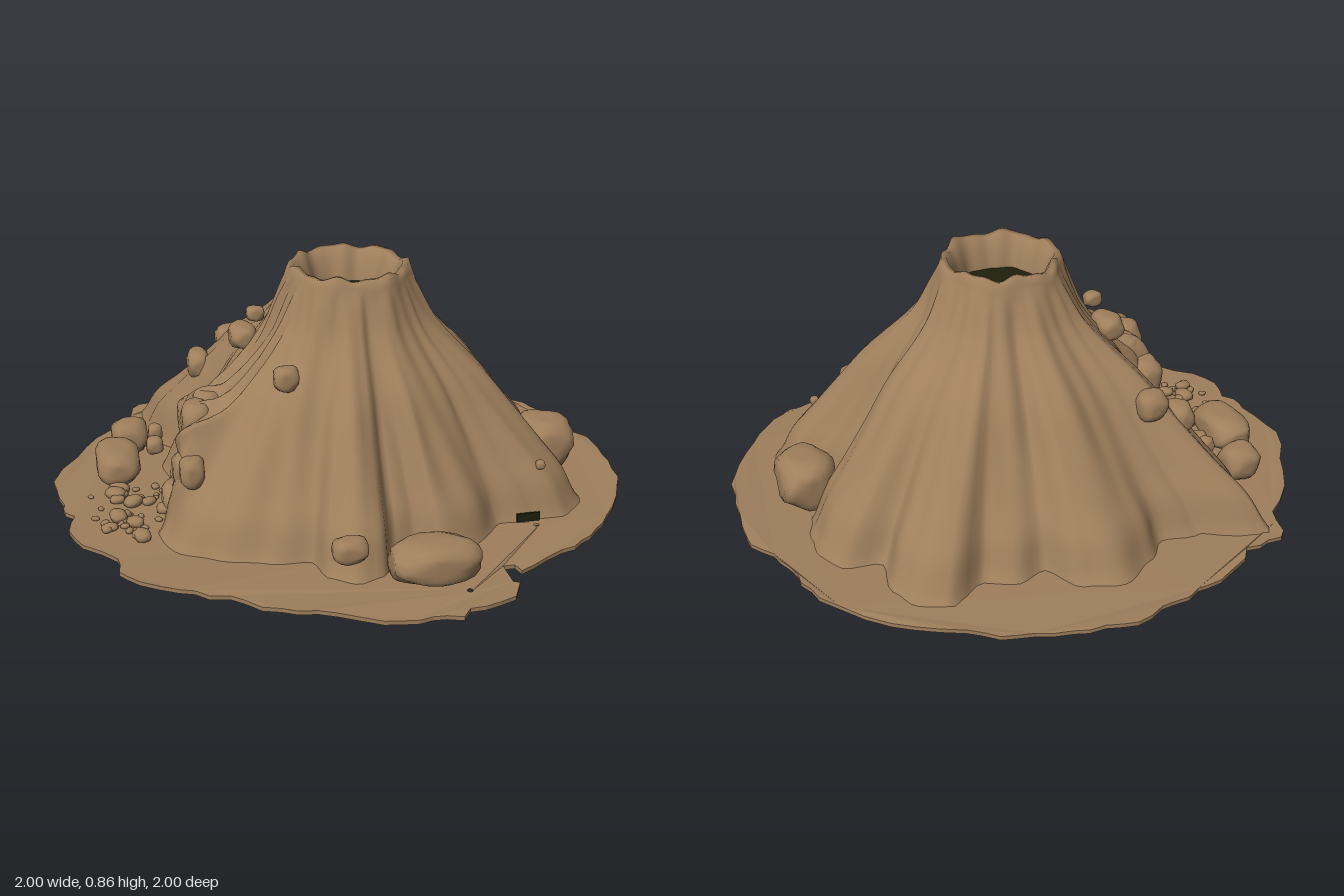
import * as THREE from 'three';
import { mergeVertices } from 'three/addons/utils/BufferGeometryUtils.js';

const CX = 0.03, CZ = 0.02; // axis of the cone

// foot of the cone as x, z pairs: lobes and gullies
const FOOT = [[.8, -.28], [.76, -.37], [.63, -.41], [.64, -.56], [.6, -.65], [.5, -.7], [.37, -.63], [.27, -.68], [.16, -.65],
  [.08, -.78], [-.05, -.82], [-.18, -.74], [-.26, -.66], [-.4, -.67], [-.52, -.73], [-.62, -.76], [-.64, -.6], [-.61, -.46],
  [-.55, -.36], [-.6, -.25], [-.59, -.1], [-.57, .03], [-.6, .12], [-.58, .2], [-.64, .27], [-.63, .42], [-.52, .5],
  [-.36, .57], [-.22, .59], [-.18, .7], [-.1, .75], [-.01, .72], [.05, .59], [.13, .57], [.22, .64], [.31, .6], [.45, .47],
  [.57, .47], [.7, .45], [.78, .36], [.79, .26], [.72, .19], [.64, .1], [.65, .01], [.77, -.08], [.8, -.18]];

// slope sections from foot to rim: [share of foot spread, height]
const SLOPE = [[1.02, .01], [.97, .05], [.89, .14], [.76, .23], [.58, .36], [.42, .48], [.14, .65], [.04, .76], [0, .81]];
const CRAG = [[1.1, .01], [1.02, .07], [.94, .2], [.91, .33], [.8, .4], [.56, .43], [.2, .6], [.04, .76], [0, .81]];
const RIM = [[.2, .838], [.18, .835], [.162, .795], [.145, .75], [.14, .71]]; // crest and inner wall: [radius, height]

// ragged outline of the ground sheet as x, z pairs
const GROUND = [[.05, -1], [.2, -.96], [.36, -.91], [.5, -.83], [.7, -.7], [.87, -.5], [.9, -.36], [.94, -.22], [1, -.1], [.99, .1],
  [.95, .28], [.83, .48], [.72, .61], [.6, .67], [.43, .76], [.42, .72], [.38, .72], [.38, .82], [.4, .83], [.36, .91], [.2, .95], [.17, .99],
  [.12, .97], [0, .97], [-.2, .9], [-.36, .84], [-.5, .73], [-.65, .67], [-.8, .55], [-.82, .42], [-.95, .25], [-.94, .1],
  [-.97, 0], [-1, -.2], [-.87, -.45], [-.7, -.65], [-.64, -.8], [-.5, -.81], [-.38, -.9], [-.25, -.93], [-.1, -.97]];

function seeded(seed) {
  return () => (seed = (seed * 16807) % 2147483647) / 2147483647;
}

const toCurve = (pts) => new THREE.CatmullRomCurve3(pts.map(([f, y]) => new THREE.Vector3(f, y, 0)));

// radius of the foot at an angle, eased between the listed points
const polar = FOOT.map(([x, z]) => ({ a: Math.atan2(z - CZ, x - CX), r: Math.hypot(x - CX, z - CZ) })).sort((p, q) => p.a - q.a);
function footRadius(a) {
  const n = polar.length;
  let k = polar.findIndex((p) => p.a > a);
  if (k < 0) k = 0;
  const p = polar[(k + n - 1) % n], q = polar[k];
  const turn = 2 * Math.PI;
  const t = ((a - p.a + turn) % turn) / ((q.a - p.a + turn) % turn);
  return THREE.MathUtils.lerp(p.r, q.r, t * t * (3 - 2 * t));
}

// how strongly the slope turns into a steep crag at an angle
function cragWeight(a) {
  const deg = ((a * 180) / Math.PI + 360) % 360;
  const s = THREE.MathUtils.smoothstep;
  return s(deg, 149, 159) * (1 - s(deg, 180, 196));
}

// a point on the slope, u from 0 at the foot to 1 at the rim
const slopeCurve = toCurve(SLOPE), cragCurve = toCurve(CRAG);
function slopePoint(a, u) {
  const w = cragWeight(a);
  const p = slopeCurve.getPoint(u).lerp(cragCurve.getPoint(u), w);
  const mid = Math.sin(Math.PI * u);
  const ripple = mid * (.007 * Math.sin(13 * a + 5 * u) + .004 * Math.sin(29 * a - 9 * u) + w * .018 * Math.sin(33 * a + 22 * u));
  const top = .21 + .007 * Math.sin(6 * a + 1);
  const r = top + p.x * (footRadius(a) - top) + ripple;
  const y = p.y + w * mid * .018 * Math.sin(27 * a + 9 * u);
  return new THREE.Vector3(CX + r * Math.cos(a), y, CZ + r * Math.sin(a));
}

function coneGeometry() {
  const sides = 200, steps = 36, rows = steps + 1 + RIM.length;
  const pos = [], index = [];
  for (let i = 0; i < rows; i++) {
    for (let j = 0; j < sides; j++) {
      const a = -Math.PI + (j / sides) * 2 * Math.PI;
      if (i <= steps) {
        pos.push(...slopePoint(a, i / steps).toArray());
      } else {
        const [r0, y0] = RIM[i - steps - 1];
        const r = r0 + .005 * Math.sin(6 * a + 1) + .002 * Math.sin(11 * a + 2);
        const y = y0 + .007 * Math.sin(7 * a) + .004 * Math.sin(13 * a + 1);
        pos.push(CX + r * Math.cos(a), y, CZ + r * Math.sin(a));
      }
      if (i < rows - 1) {
        const p = i * sides + j, q = i * sides + ((j + 1) % sides);
        index.push(p, p + sides, q, p + sides, q + sides, q);
      }
    }
  }
  const g = new THREE.BufferGeometry();
  g.setAttribute('position', new THREE.Float32BufferAttribute(pos, 3));
  g.setIndex(index);
  g.computeVertexNormals();
  return g;
}

// thin sheet with a ragged, gently waving edge
function groundGeometry() {
  const rand = seeded(11), pts = [];
  GROUND.forEach(([x, z], i) => {
    const [x2, z2] = GROUND[(i + 1) % GROUND.length];
    const long = Math.hypot(x2 - x, z2 - z) > .1;
    pts.push(new THREE.Vector2(x, -z));
    if (!long) return;
    for (const t of [.35, .7]) {
      const k = .995 + .025 * rand();
      pts.push(new THREE.Vector2(Math.max(-1, Math.min(1, (x + (x2 - x) * t) * k)), -(z + (z2 - z) * t) * k));
    }
  });
  const shape = new THREE.Shape(pts);
  for (const [x, z] of [[.57, .5], [.23, .85]]) {
    shape.holes.push(new THREE.Path().absarc(x, -z, .01, 0, Math.PI * 2, true));
  }
  const g = new THREE.ExtrudeGeometry(shape, { depth: .014, bevelEnabled: false, curveSegments: 4 }).rotateX(-Math.PI / 2);
  const p = g.attributes.position;
  for (let i = 0; i < p.count; i++) {
    const a = Math.atan2(p.getZ(i), p.getX(i));
    p.setY(i, p.getY(i) + .01 + .006 * Math.sin(3 * a + 1) + .004 * Math.sin(11 * a));
  }
  g.computeVertexNormals();
  return g;
}

// worn stone, a sphere flattened where it meets a box
function stoneGeometry(w, h, d, seed, detail = 3) {
  let g = new THREE.IcosahedronGeometry(1, detail).rotateY(seed).rotateX(seed * .7);
  g.deleteAttribute('normal');
  g.deleteAttribute('uv');
  g = mergeVertices(g, 1e-4);
  const p = g.attributes.position, v = new THREE.Vector3();
  for (let i = 0; i < p.count; i++) {
    v.fromBufferAttribute(p, i);
    v.multiplyScalar(1 + .06 * Math.sin(3 * v.x + 5 * v.y + 4 * v.z + seed));
    v.clampScalar(-.84, .84).multiplyScalar(.5 / .84);
    p.setXYZ(i, v.x * w, v.y * h, v.z * d);
  }
  g.computeVertexNormals();
  return g;
}

export function createModel() {
  const earth = new THREE.MeshStandardMaterial({ color: 0x9f7f5c });
  earth.name = 'earthBrown';
  const dark = new THREE.MeshStandardMaterial({ color: 0x1f1f0c });
  dark.name = 'hollowDark';

  const model = new THREE.Group();
  model.name = 'volcano';
  const add = (name, geometry, material, x = 0, y = 0, z = 0) => {
    const m = new THREE.Mesh(geometry, material);
    m.name = name;
    m.position.set(x, y, z);
    model.add(m);
    return m;
  };

  add('groundSheet', groundGeometry(), earth);
  add('cone', coneGeometry(), earth);

  // dark crater floor and hollows at the foot
  add('craterFloor', new THREE.CylinderGeometry(.15, .15, .008, 24), dark, CX, .72, CZ);
  add('frontHollow', new THREE.CylinderGeometry(.1, .1, .036, 6), dark, .14, .045, .66);
  add('sideHollow', new THREE.CylinderGeometry(.1, .1, .036, 7), dark, .72, .045, .06);
  add('lobeHollow', new THREE.BoxGeometry(.08, .03, .008), dark, .55, .045, .472);

  // boulders: x, y, z, width, height, depth
  const boulders = [
    [.14, .093, .76, .28, .13, .17], [.75, .12, .04, .19, .18, .22], [-.77, .085, -.18, .15, .12, .24],
    [-.71, .08, -.4, .13, .12, .13], [-.32, .42, -.44, .1, .1, .1], [-.44, .34, -.42, .08, .1, .12],
    [-.32, .56, -.1, .09, .08, .13], [-.28, .65, -.06, .06, .05, .05], [-.24, .55, .3, .08, .08, .07], [-.12, .13, .71, .11, .08, .08],
    [.61, .2, .4, .03, .03, .03], [-.63, .1, -.25, .06, .06, .06], [-.62, .12, -.32, .05, .06, .05]];
  boulders.forEach(([x, y, z, w, h, d], i) => add('boulder', stoneGeometry(w, h, d, i + 1), earth, x, y, z));

  // flat rubble below the crag
  const rand = seeded(77);
  for (let i = 0; i < 38; i++) {
    const s = .016 + .04 * rand() ** 2;
    const x = -.62 - .26 * rand(), z = -.06 + .38 * rand();
    add('rubble', stoneGeometry(s * 1.3, s * .7, s, i, 1), earth, x, .026 + s * .2, z).rotation.y = rand() * 3;
  }

  // broken blocks sunk into the crag
  for (let i = 0; i < 8; i++) {
    const p = slopePoint(2.7 + .08 * i, .06 + .38 * rand()), s = .06 + .05 * rand();
    add('cragBlock', stoneGeometry(s, s * 1.3, s * 1.2, i + 3), earth, p.x + .025, p.y, p.z);
  }
  return model;
}
